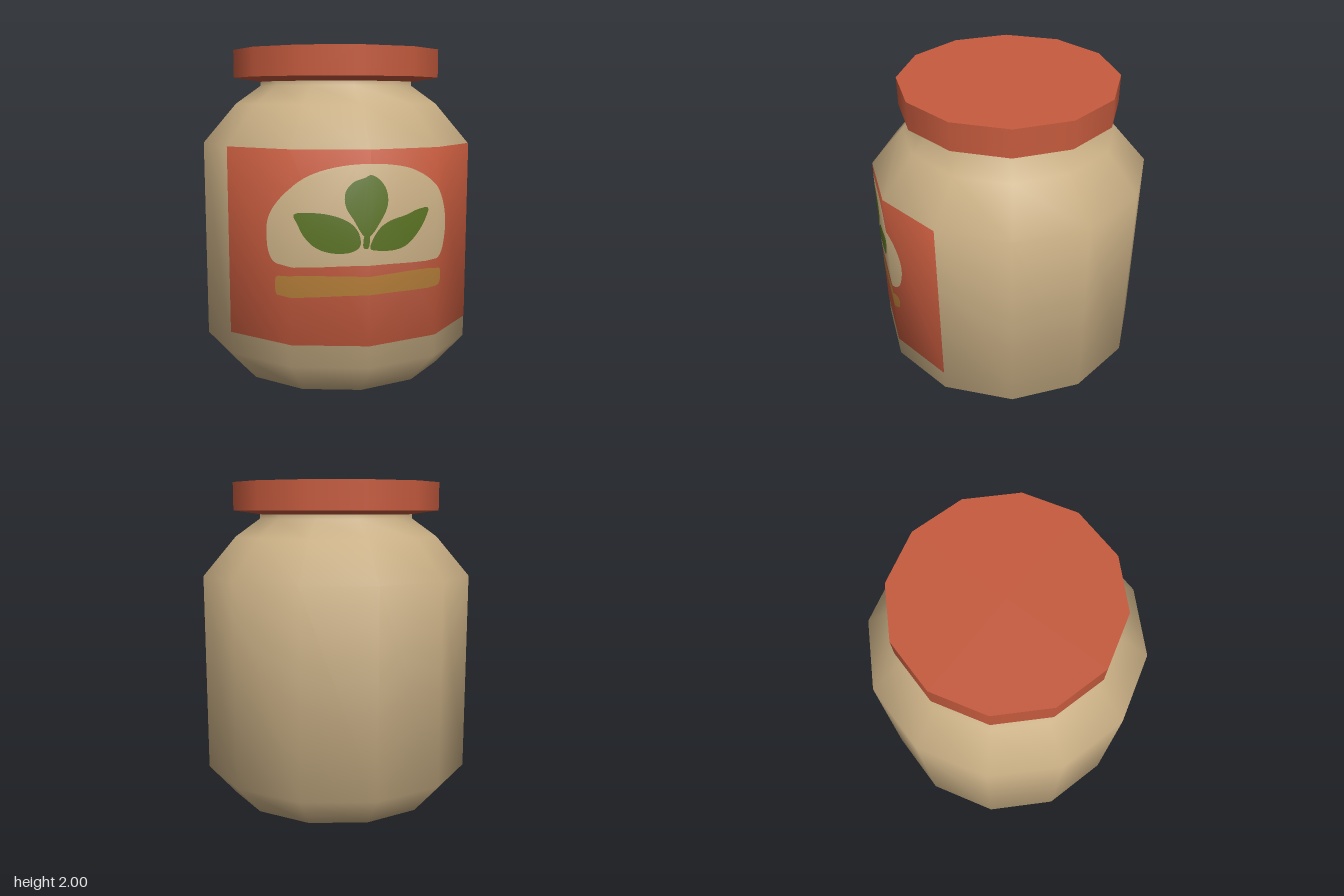
import * as THREE from 'three';
import { mergeGeometries } from 'three/addons/utils/BufferGeometryUtils.js';

const SIDES = 12, R = 0.85, WALL_LOW = 0.2, WALL_HIGH = 1.43, TILT = 0.35;

function material(name, color) {
  const m = new THREE.MeshStandardMaterial({ color });
  m.name = name;
  return m;
}

function mesh(name, geometry, mat, y = 0) {
  const m = new THREE.Mesh(geometry, mat);
  m.name = name;
  m.position.y = y;
  return m;
}

// Radial normals, tipped up or down by an angle that depends on height
function softNormals(geometry, tiltAt) {
  const p = geometry.attributes.position, n = geometry.attributes.normal;
  for (let i = 0; i < p.count; i++) {
    const a = tiltAt(p.getY(i)), r = Math.hypot(p.getX(i), p.getZ(i));
    n.setXYZ(i, p.getX(i) / r * Math.cos(a), Math.sin(a), p.getZ(i) / r * Math.cos(a));
  }
  return geometry;
}

const wallTilt = y => THREE.MathUtils.mapLinear(y, WALL_LOW, WALL_HIGH, -TILT, TILT);

// Keep the part of an outline on one side of a vertical line
function clip(points, x, sign) {
  const out = [];
  points.forEach((a, i) => {
    const b = points[(i + 1) % points.length];
    const da = (a.x - x) * sign, db = (b.x - x) * sign;
    if (da >= 0) out.push(a);
    if (da * db < 0) out.push(a.clone().lerp(b, da / (da - db)));
  });
  return out;
}

// Lay a flat outline on the front facets of the jar, one piece per facet
function wrapped(outline, scale) {
  const edges = [-2, -1, 0, 1, 2].map(k => R * Math.sin(k * Math.PI / 6));
  const pieces = [];
  for (let k = 0; k < 4; k++) {
    const pts = clip(clip(outline, edges[k], 1), edges[k + 1], -1);
    if (pts.length < 3) continue;
    const g = new THREE.ShapeGeometry(new THREE.Shape(pts));
    const p = g.attributes.position;
    for (let i = 0; i < p.count; i++) {
      const x = p.getX(i), ax = Math.abs(x);
      const z = ax < R / 2 ? R - ax * Math.tan(Math.PI / 12) : R * Math.cos(Math.PI / 6) - (ax - R / 2);
      p.setXYZ(i, x * scale, p.getY(i), z * scale);
    }
    pieces.push(g);
  }
  return softNormals(mergeGeometries(pieces), wallTilt);
}

// Smooth closed outline through a few points
function smooth(points) {
  const curve = new THREE.CatmullRomCurve3(points.map(([x, y]) => new THREE.Vector3(x, y, 0)), true);
  return curve.getPoints(points.length * 4).slice(0, -1).map(v => new THREE.Vector2(v.x, v.y));
}

export function createModel() {
  const tan = material('tan', 0xc8ae84);
  const red = material('brick red', 0xc65b3e);
  const green = material('leaf green', 0x587022);
  const ochre = material('ochre', 0xb8803a);
  const jar = new THREE.Group();
  jar.name = 'jar';

  // Body: radius, height and normal tilt of each ring
  const rings = [
    [0.675, 0, -0.73], [R, WALL_LOW, -TILT], [R, WALL_HIGH, TILT],
    [0.645, 1.67, 0.8], [0.49, 1.78, 0.47], [0.49, 1.82, 0],
  ];
  const body = new THREE.LatheGeometry(rings.map(([r, y]) => new THREE.Vector2(r, y)), SIDES);
  softNormals(body, y => rings.find(ring => Math.abs(ring[1] - y) < 1e-4)[2]);
  jar.add(mesh('body', body, tan));

  const base = new THREE.CircleGeometry(0.675, SIDES).rotateX(Math.PI / 2);
  jar.add(mesh('base', base, tan));

  // Lid with a slightly sloped underside
  jar.add(mesh('lid', new THREE.CylinderGeometry(0.655, 0.655, 0.17, SIDES), red, 1.915));
  jar.add(mesh('lidUnderside', new THREE.CylinderGeometry(0.655, 0.485, 0.025, SIDES, 1, true), red, 1.8175));

  // Label around the four front facets
  const label = new THREE.LatheGeometry(
    [new THREE.Vector2(R * 1.003, 0.33), new THREE.Vector2(R * 1.003, 1.432)],
    4, -Math.PI / 3, Math.PI * 2 / 3);
  jar.add(mesh('label', softNormals(label, wallTilt), red));

  // Pale arched panel
  const panel = smooth([
    [-0.49, 0.79], [-0.525, 0.83], [-0.54, 0.95], [-0.53, 1.05], [-0.48, 1.15], [-0.4, 1.24],
    [-0.3, 1.3], [-0.15, 1.342], [0, 1.355], [0.13, 1.345], [0.25, 1.32], [0.36, 1.265],
    [0.43, 1.2], [0.48, 1.11], [0.505, 1.0], [0.495, 0.89], [0.47, 0.82], [0.43, 0.79], [0, 0.793],
  ]);
  jar.add(mesh('labelPanel', wrapped(panel, 1.005), tan));

  // Stripe below the panel
  const stripe = smooth([
    [-0.49, 0.61], [-0.497, 0.62], [-0.497, 0.71], [-0.48, 0.722], [0, 0.73], [0.44, 0.73],
    [0.462, 0.715], [0.462, 0.645], [0.44, 0.628], [0, 0.625],
  ]);
  jar.add(mesh('labelStripe', wrapped(stripe, 1.005), ochre));

  // Three leaves and a short stem
  const leaves = {
    middleLeaf: [
      [-0.02, 0.95], [-0.09, 1.05], [-0.13, 1.12], [-0.132, 1.2], [-0.09, 1.255], [-0.03, 1.28],
      [0, 1.295], [0.05, 1.27], [0.095, 1.21], [0.105, 1.13], [0.07, 1.05],
    ],
    rightLeaf: [
      [-0.405, 1.075], [-0.3, 1.085], [-0.18, 1.065], [-0.1, 1.025], [-0.06, 0.97], [-0.055, 0.9],
      [-0.1, 0.867], [-0.2, 0.86], [-0.29, 0.89], [-0.35, 0.95], [-0.385, 1.02],
    ],
    leftLeaf: [
      [0.362, 1.09], [0.34, 1.02], [0.29, 0.945], [0.22, 0.885], [0.15, 0.867], [0.07, 0.87],
      [0.0, 0.888], [0.015, 0.94], [0.06, 1.0], [0.12, 1.035], [0.22, 1.06], [0.3, 1.088],
    ],
    stem: [[-0.035, 0.89], [-0.012, 0.89], [-0.008, 0.97], [-0.028, 0.97]],
  };
  for (const [name, points] of Object.entries(leaves)) {
    jar.add(mesh(name, wrapped(smooth(points), 1.007), green));
  }
  return jar;
}
